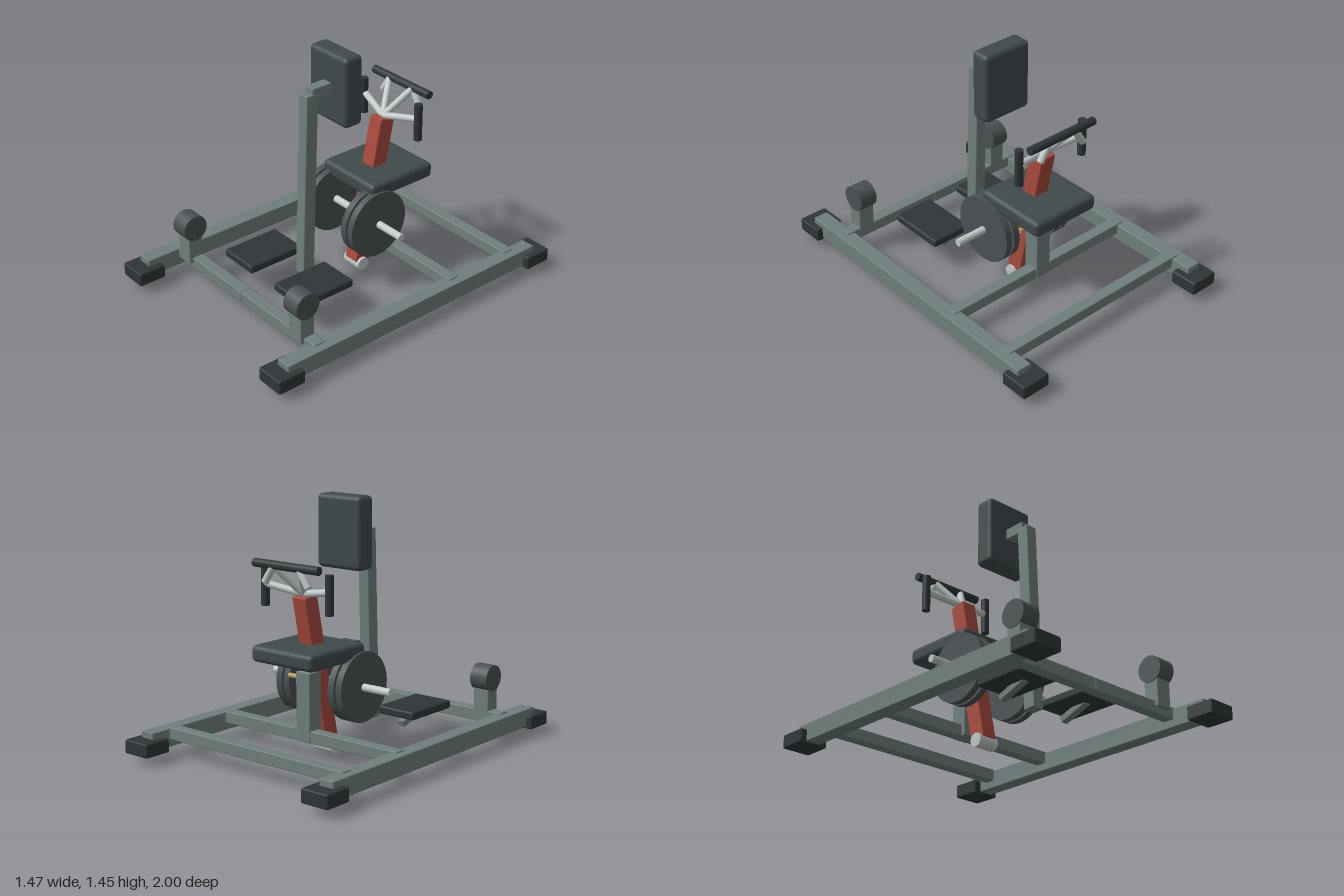
import * as THREE from 'three';
import { RoundedBoxGeometry } from 'three/addons/geometries/RoundedBoxGeometry.js';

const mat = (color) => new THREE.MeshStandardMaterial({ color });

export function createModel() {
  const model = new THREE.Group();
  const frame = mat(0x6f7f7d), rubber = mat(0x2f3638), pad = mat(0x3f4a4b);
  const iron = mat(0x4a5153), steel = mat(0xc0c8c8), red = mat(0xa84a3c), brass = mat(0xb89a5a);

  const add = (name, geometry, material, x, y, z) => {
    const mesh = new THREE.Mesh(geometry, material);
    mesh.name = name;
    mesh.position.set(x, y, z);
    model.add(mesh);
    return mesh;
  };

  // box given by its lower and upper limits on each axis
  const box = (name, material, [x0, x1], [y0, y1], [z0, z1], r = 0.006, segments = 1) =>
    add(name, new RoundedBoxGeometry(x1 - x0, y1 - y0, z1 - z0, segments, r), material,
      (x0 + x1) / 2, (y0 + y1) / 2, (z0 + z1) / 2);

  // square beam between two points (y, z) in the centre plane of x
  const beam = (name, material, x, [y0, z0], [y1, z1], width, depth) => {
    const g = new RoundedBoxGeometry(width, Math.hypot(y1 - y0, z1 - z0), depth, 1, 0.006);
    const mesh = add(name, g, material, x, (y0 + y1) / 2, (z0 + z1) / 2);
    mesh.rotation.x = Math.atan2(z1 - z0, y1 - y0);
    return mesh;
  };

  // round bar between two points
  const rod = (name, material, from, to, radius, sides = 24) => {
    const a = new THREE.Vector3(...from), b = new THREE.Vector3(...to);
    const dir = b.clone().sub(a);
    const mid = a.clone().add(b).multiplyScalar(0.5);
    const mesh = add(name, new THREE.CylinderGeometry(radius, radius, dir.length(), sides),
      material, mid.x, mid.y, mid.z);
    mesh.quaternion.setFromUnitVectors(new THREE.Vector3(0, 1, 0), dir.normalize());
    return mesh;
  };

  // mirrored limits along x
  const span = (s, a, b) => (s > 0 ? [a, b] : [-b, -a]);

  for (const s of [1, -1]) {
    const side = s > 0 ? 'left' : 'right';

    // base
    box(side + 'SideRail', frame, span(s, 0.605, 0.697), [0.055, 0.162], [-0.91, 0.91]);
    for (const e of [1, -1])
      box(side + (e > 0 ? 'Front' : 'Rear') + 'Foot', rubber,
        span(s, 0.56, 0.735), [0.045, 0.125], span(e, 0.83, 1.0), 0.008);
    box(side + 'FrontCrossbar', frame, span(s, 0, 0.65), [0.1, 0.17], [0.63, 0.7]);

    // leg rollers
    box(side + 'RollerPost', frame, span(s, 0.46, 0.562), [0.135, 0.36], [0.63, 0.722]);
    rod(side + 'Roller', iron, [s * 0.455, 0.358, 0.675], [s * 0.566, 0.358, 0.675], 0.077, 40);

    // foot plates
    box(side + 'FootPlate', rubber, span(s, 0.102, 0.357), [0.17, 0.218], [0.185, 0.547], 0.012, 2);
    beam(side + 'FootPlateBracket', frame, s * 0.23, [0.185, 0.42], [0.12, 0.24], 0.045, 0.04);

    // weight plates
    for (const x of [0.142, 0.197])
      rod(side + 'WeightPlate', iron, [s * x, 0.405, -0.105], [s * (x + 0.04), 0.405, -0.105], 0.2, 56);

    // handle arms and grips
    rod(side + 'LowerArm', steel, [0, 0.933, -0.335], [s * 0.225, 0.975, -0.395], 0.02);
    rod(side + 'VerticalGrip', rubber, [s * 0.231, 0.85, -0.392], [s * 0.231, 1.07, -0.392], 0.024);
    rod(side + 'UpperArm', steel, [0, 0.93, -0.335], [s * 0.1, 1.1, -0.472], 0.02);
    rod(side + 'HandleStub', steel, [s * 0.09, 1.1, -0.474], [s * 0.155, 1.0, -0.474], 0.021);
  }

  // rear crossbars
  box('rearCrossbar', frame, [-0.65, 0.65], [0.1, 0.17], [-0.785, -0.715]);
  box('middleCrossbar', frame, [-0.65, 0.65], [0.1, 0.17], [-0.345, -0.275]);

  // chest support
  beam('upright', frame, 0, [0.12, 0.245], [1.237, 0.203], 0.072, 0.078);
  box('chestPadArm', frame, [-0.034, 0.034], [1.205, 1.272], [0.03, 0.2]);
  box('chestPad', pad, [-0.157, 0.157], [1.03, 1.445], [-0.05, 0.075], 0.03, 4);

  // seat
  box('seat', pad, [-0.222, 0.222], [0.557, 0.652], [-0.53, -0.07], 0.03, 4);
  box('seatPost', frame, [-0.05, 0.05], [0.1, 0.497], [-0.35, -0.25]);
  box('seatStem', steel, [-0.03, 0.03], [0.45, 0.57], [-0.333, -0.285]);
  rod('seatPin', brass, [0, 0.452, -0.3], [0.142, 0.452, -0.3], 0.014);

  // lever with its pivot, weight bar and top handle
  beam('lever', red, 0, [0.05, -0.148], [0.927, -0.33], 0.097, 0.1);
  rod('leverPivot', steel, [-0.065, 0.04, -0.142], [0.065, 0.04, -0.142], 0.04, 32);
  rod('weightBar', steel, [-0.425, 0.405, -0.108], [0.425, 0.405, -0.108], 0.022);
  rod('topHandle', rubber, [-0.232, 1.1, -0.474], [0.232, 1.1, -0.474], 0.024);

  return model;
}
